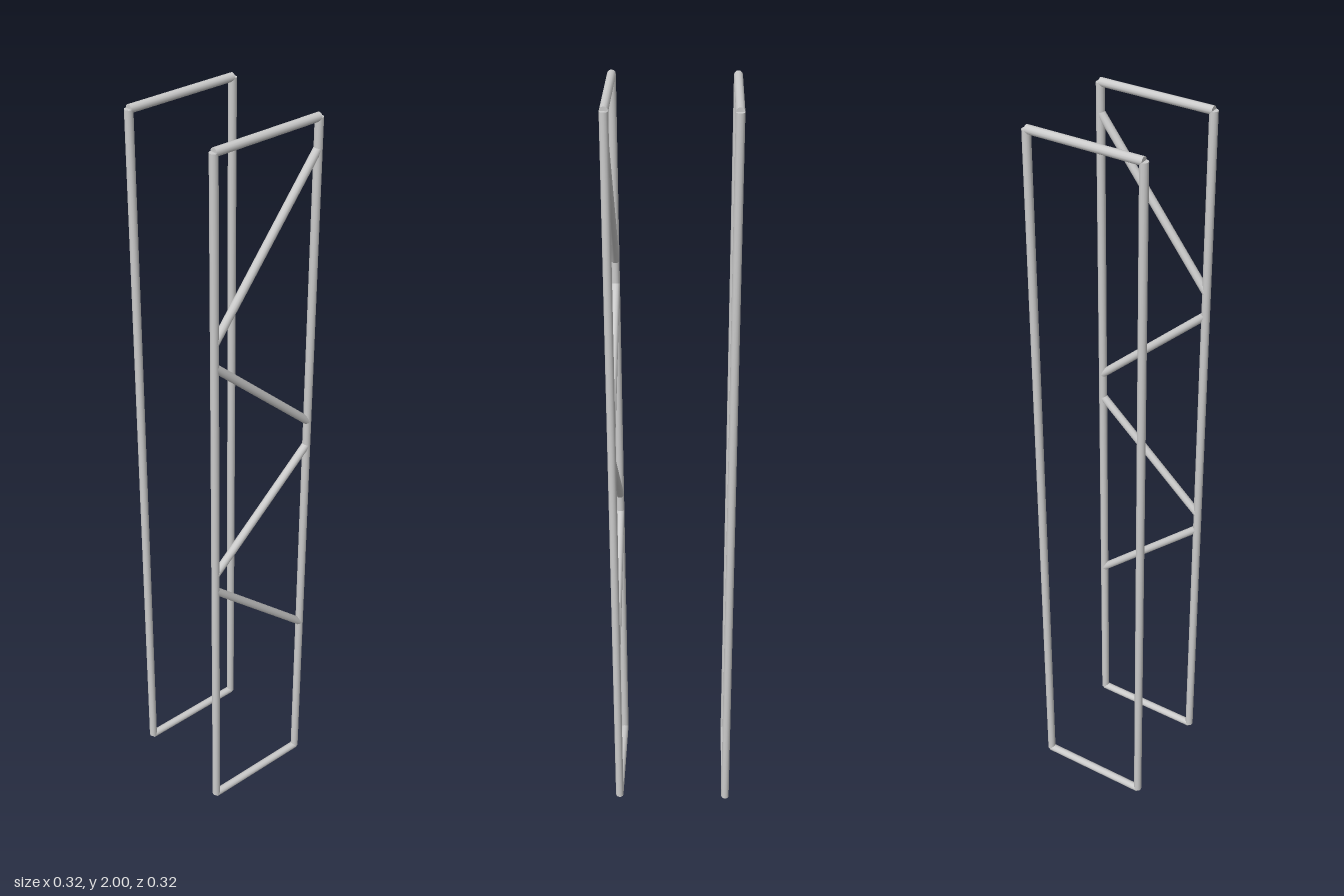
import * as THREE from 'three';

const R = 0.0107;          // tube radius
const HALF = 0.15;         // half spacing of posts and of the two frames
const LOW = R, HIGH = 2 - R;

const material = new THREE.MeshStandardMaterial({ color: 0xcccccc });

// Round tube between two points of a frame's plane
function tube(name, x1, y1, x2, y2) {
  const a = new THREE.Vector3(x1, y1, 0);
  const b = new THREE.Vector3(x2, y2, 0);
  const dir = b.clone().sub(a);
  const mesh = new THREE.Mesh(new THREE.CylinderGeometry(R, R, dir.length(), 12), material);
  mesh.position.copy(a).add(b).multiplyScalar(0.5);
  mesh.quaternion.setFromUnitVectors(new THREE.Vector3(0, 1, 0), dir.normalize());
  mesh.name = name;
  return mesh;
}

// Tall rectangular frame: two posts, a top rail and a bottom rail
function frame(name, z) {
  const group = new THREE.Group();
  group.name = name;
  group.position.z = z;
  group.add(
    tube('leftPost', HALF, LOW, HALF, HIGH),
    tube('rightPost', -HALF, LOW, -HALF, HIGH),
    tube('topRail', -HALF, HIGH, HALF, HIGH),
    tube('bottomRail', -HALF, LOW, HALF, LOW)
  );
  return group;
}

export function createModel() {
  const model = new THREE.Group();
  model.name = 'trussFrames';
  const front = frame('frontFrame', HALF);
  const back = frame('backFrame', -HALF);

  // Zigzag braces of the front frame: heights at the right and left posts
  const braces = [[0.778, 0.503], [0.83, 1.107], [1.456, 1.18], [1.519, 1.915]];
  braces.forEach(([yRight, yLeft], i) => {
    front.add(tube(`brace${i + 1}`, -HALF, yRight, HALF, yLeft));
  });

  model.add(front, back);
  return model;
}
